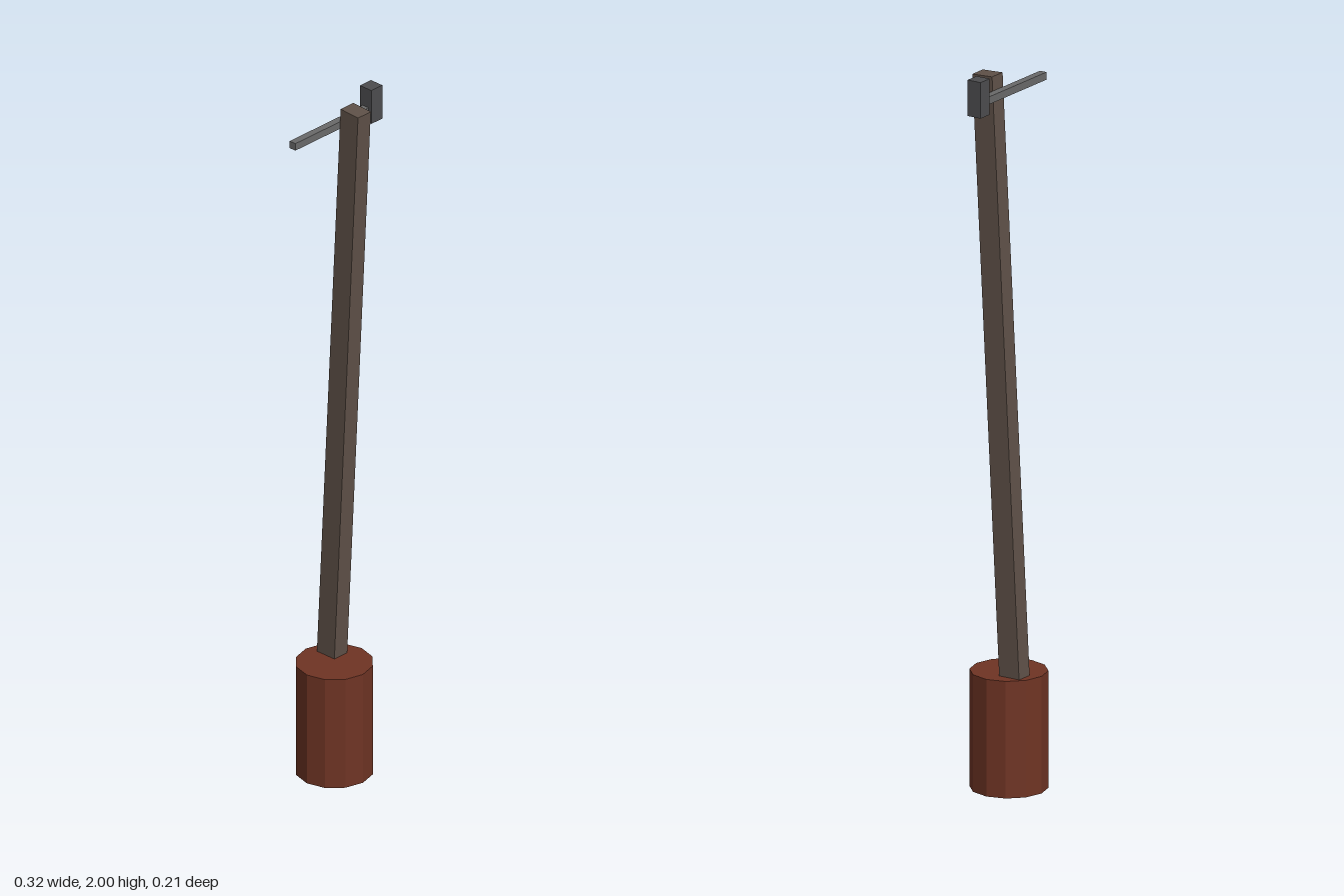
import * as THREE from 'three';

function part(name, geometry, color, x, y, z) {
  const material = new THREE.MeshStandardMaterial({ color, flatShading: true });
  const mesh = new THREE.Mesh(geometry, material);
  mesh.name = name;
  mesh.position.set(x, y, z);
  return mesh;
}

export function createModel() {
  const model = new THREE.Group();
  model.name = 'leaningPost';

  // Twelve-sided base drum
  const base = part('base', new THREE.CylinderGeometry(0.105, 0.105, 0.325, 12), 0x6f3424, -0.001, 0.1625, -0.001);

  // Square post leaning three degrees forward, set slightly into the base
  const post = part('post', new THREE.BoxGeometry(0.049, 1.68, 0.064), 0x5f5148, 0.034, 1.143, 0);
  post.rotation.x = THREE.MathUtils.degToRad(3);

  // Thin crossbar behind the post head, ending in an upright block
  const crossbar = part('crossbar', new THREE.BoxGeometry(0.3, 0.021, 0.021), 0x6a6a6a, -0.011, 1.934, -0.001);
  const endBlock = part('endBlock', new THREE.BoxGeometry(0.042, 0.1, 0.042), 0x4d4d4f, 0.14, 1.95, -0.001);

  model.add(base, post, crossbar, endBlock);
  return model;
}
